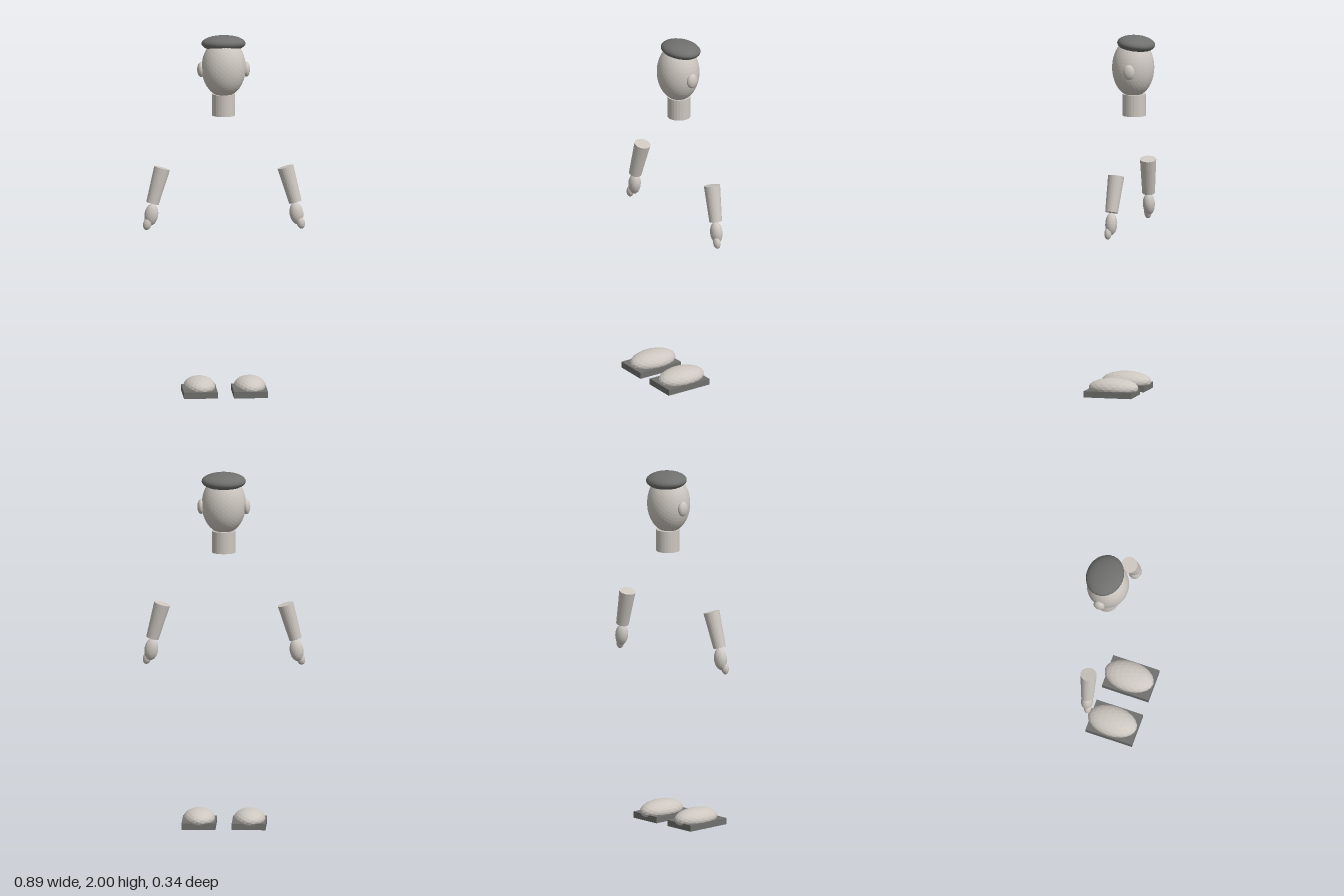
import * as THREE from 'three';

const skin = new THREE.MeshStandardMaterial({ color: 0xcdc7c0, flatShading: true });
skin.name = 'warm light grey';
const dark = new THREE.MeshStandardMaterial({ color: 0x70706e, flatShading: true });
dark.name = 'dark grey';

// Faceted ellipsoid from a subdivided icosahedron
function ellipsoid(name, material, radii, position, detail = 3) {
  const geometry = new THREE.IcosahedronGeometry(1, detail);
  geometry.scale(...radii);
  const mesh = new THREE.Mesh(geometry, material);
  mesh.name = name;
  mesh.position.set(...position);
  return mesh;
}

// Tapered cylinder running from a top point to a bottom point
function limb(name, material, top, bottom, rTop, rBottom) {
  const a = new THREE.Vector3(...top), b = new THREE.Vector3(...bottom);
  const axis = a.clone().sub(b);
  const mesh = new THREE.Mesh(new THREE.CylinderGeometry(rTop, rBottom, axis.length(), 24), material);
  mesh.name = name;
  mesh.position.copy(a).add(b).multiplyScalar(0.5);
  mesh.quaternion.setFromUnitVectors(new THREE.Vector3(0, 1, 0), axis.normalize());
  return mesh;
}

export function createModel() {
  const model = new THREE.Group();
  model.name = 'figure';

  // Head, cap and neck
  model.add(ellipsoid('head', skin, [0.122, 0.163, 0.116], [0, 1.823, -0.05], 7));
  const cap = ellipsoid('cap', dark, [0.122, 0.045, 0.104], [0, 1.955, -0.067], 5);
  cap.rotation.x = -0.1;
  model.add(cap);
  model.add(limb('neck', skin, [0, 1.675, -0.056], [0, 1.555, -0.056], 0.064, 0.064));

  // Paired parts
  for (const s of [1, -1]) {
    const side = s > 0 ? 'left' : 'right';
    model.add(ellipsoid(side + 'Ear', skin, [0.021, 0.042, 0.032], [s * 0.125, 1.811, -0.058]));

    // Forearm, hand and fingers
    model.add(limb(side + 'Forearm', skin,
      [s * 0.34, 1.265, -0.044], [s * 0.394, 1.07, -0.032], 0.045, 0.035));
    const hand = ellipsoid(side + 'Hand', skin, [0.038, 0.062, 0.033], [s * 0.4, 1.007, -0.032]);
    hand.rotation.z = s * 0.15;
    const fingers = ellipsoid(side + 'Fingers', skin, [0.023, 0.035, 0.02], [s * 0.423, 0.957, -0.02]);
    fingers.rotation.z = s * 0.25;
    model.add(hand, fingers);

    // Shoe upper on a flat sole
    model.add(ellipsoid(side + 'Shoe', skin, [0.088, 0.056, 0.141], [s * 0.139, 0.056, 0.025]));
    const sole = new THREE.Mesh(new THREE.BoxGeometry(0.187, 0.035, 0.27), dark);
    sole.name = side + 'Sole';
    sole.position.set(s * 0.138, 0.028, 0.035);
    model.add(sole);
  }
  return model;
}
